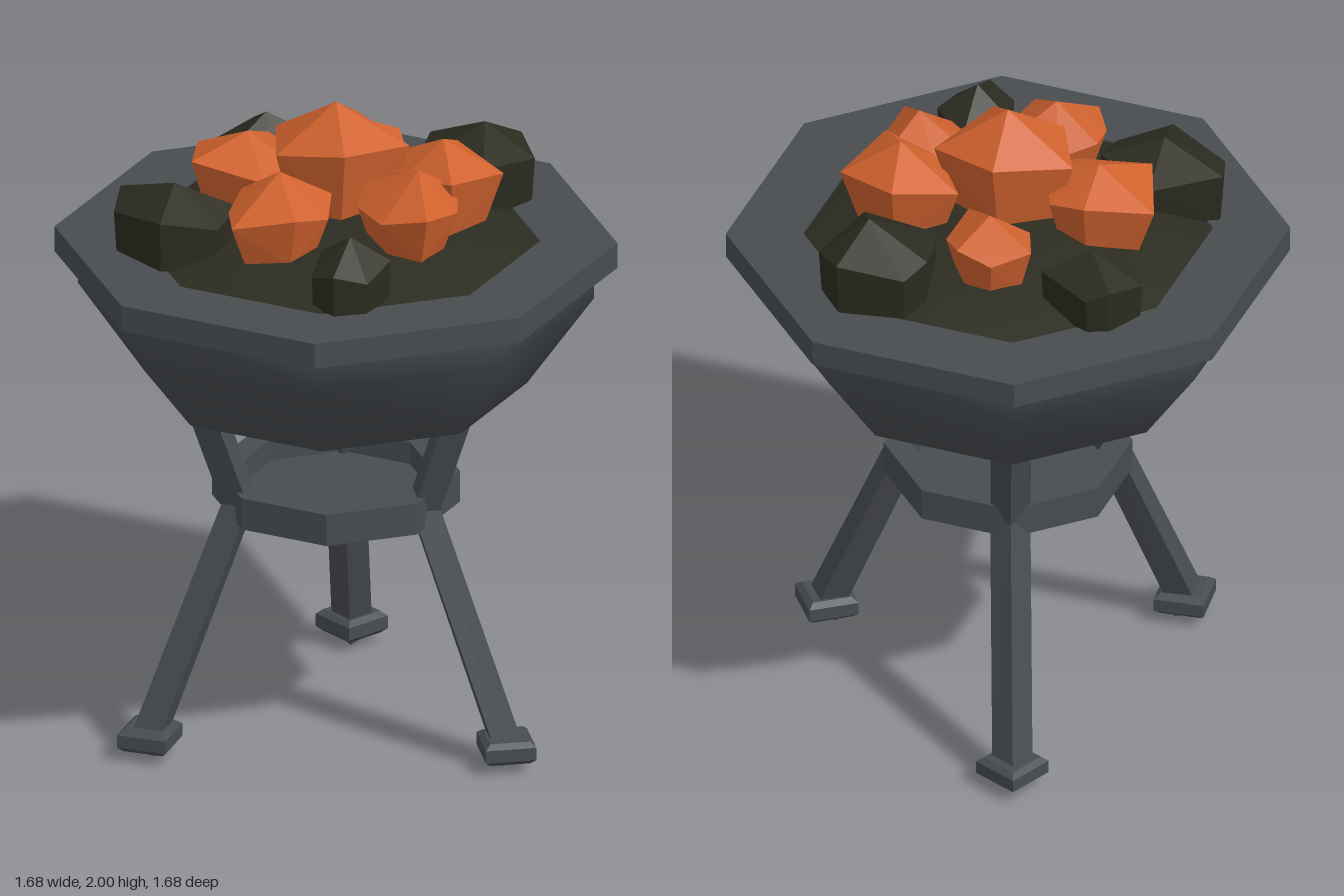
import * as THREE from 'three';
import { ConvexGeometry } from 'three/addons/geometries/ConvexGeometry.js';

const iron = new THREE.MeshStandardMaterial({ color: 0x484c50 });
iron.name = 'iron grey';
const coal = new THREE.MeshStandardMaterial({ color: 0x2c2b20 });
coal.name = 'coal black';
const ember = new THREE.MeshStandardMaterial({ color: 0xd0622e });
ember.name = 'ember orange';

function faceted(geometry) {
  const g = geometry.index ? geometry.toNonIndexed() : geometry;
  g.computeVertexNormals();
  return g;
}

function lathe(profile, sides = 8) {
  return new THREE.LatheGeometry(profile.map(([r, y]) => new THREE.Vector2(r, y)), sides);
}

function add(parent, name, geometry, material) {
  const mesh = new THREE.Mesh(geometry, material);
  mesh.name = name;
  parent.add(mesh);
  return mesh;
}

// Bent bar with a diamond section; each station is [radius, y, section lean]
function legGeometry() {
  const stations = [[0.635, 0.025, 0.4], [0.318, 0.77, 0], [0.46, 1.17, 0]];
  const h = 0.06, pos = [], idx = [];
  for (const [r, y, lean] of stations) {
    const dr = h * Math.cos(lean), dy = h * Math.sin(lean);
    pos.push(0, y + dy, r + dr, h, y, r, 0, y - dy, r - dr, -h, y, r);
  }
  for (let s = 0; s < 2; s++) {
    for (let k = 0; k < 4; k++) {
      const a = s * 4 + k, b = s * 4 + (k + 1) % 4;
      idx.push(a, b, b + 4, a, b + 4, a + 4);
    }
  }
  idx.push(0, 2, 1, 0, 3, 2, 8, 9, 10, 8, 10, 11);
  const g = new THREE.BufferGeometry();
  g.setAttribute('position', new THREE.Float32BufferAttribute(pos, 3));
  g.setIndex(idx);
  return faceted(g);
}

// Faceted lump: outline at its widest, a shrunken base and a peak
function rockGeometry({ outline, peak, mid, base, shrink }) {
  const [px, py, pz] = peak;
  const pts = [new THREE.Vector3(px, py, pz)];
  const n = outline.length;
  const cx = outline.reduce((s, p) => s + p[0], 0) / n;
  const cz = outline.reduce((s, p) => s + p[1], 0) / n;
  outline.forEach(([x, z], i) => {
    pts.push(new THREE.Vector3(x, mid + (i % 2 ? 0.015 : -0.015), z));
    pts.push(new THREE.Vector3(cx + (x - cx) * shrink, base, cz + (z - cz) * shrink));
  });
  return new ConvexGeometry(pts);
}

const embers = [
  { peak: [0, 2, 0], mid: 1.88, base: 1.66,
    outline: [[-0.19, -0.12], [0.05, -0.18], [0.22, 0], [0.04, 0.18], [-0.17, 0.11]] },
  { peak: [-0.27, 1.86, -0.09], mid: 1.78, base: 1.6,
    outline: [[-0.43, -0.22], [-0.22, -0.24], [-0.12, -0.16], [-0.12, 0], [-0.21, 0.09], [-0.43, 0.01]] },
  { peak: [0.32, 1.89, 0], mid: 1.8, base: 1.63,
    outline: [[0.15, -0.13], [0.35, -0.17], [0.5, 0], [0.36, 0.18], [0.2, 0.07]] },
  { peak: [-0.15, 1.87, 0.24], mid: 1.76, base: 1.62,
    outline: [[-0.3, 0.27], [-0.27, 0.15], [-0.15, 0.12], [0, 0.17], [0, 0.3], [-0.09, 0.4], [-0.28, 0.4]] },
  { peak: [0.26, 1.87, 0.2], mid: 1.76, base: 1.62,
    outline: [[0.08, 0.2], [0.09, 0.07], [0.2, 0.03], [0.37, 0.09], [0.38, 0.22], [0.3, 0.37], [0.16, 0.33]] },
  { peak: [0.06, 1.82, -0.3], mid: 1.74, base: 1.6,
    outline: [[-0.06, -0.25], [-0.06, -0.41], [0.06, -0.44], [0.16, -0.39], [0.19, -0.28], [0.12, -0.16], [0.03, -0.18]] },
];

const coals = [
  { peak: [-0.24, 1.78, -0.43], mid: 1.69, base: 1.55,
    outline: [[-0.39, -0.47], [-0.29, -0.56], [-0.22, -0.56], [-0.09, -0.43], [-0.21, -0.32], [-0.34, -0.32]] },
  { peak: [0.42, 1.82, -0.31], mid: 1.72, base: 1.55,
    outline: [[0.22, -0.27], [0.25, -0.42], [0.32, -0.48], [0.52, -0.44], [0.57, -0.31], [0.43, -0.14], [0.24, -0.2]] },
  { peak: [-0.47, 1.79, 0.16], mid: 1.71, base: 1.55,
    outline: [[-0.65, 0.17], [-0.64, 0.04], [-0.42, 0.01], [-0.28, 0.17], [-0.33, 0.29], [-0.5, 0.33]] },
  { peak: [0.08, 1.77, 0.49], mid: 1.68, base: 1.55,
    outline: [[-0.03, 0.56], [-0.01, 0.42], [0.13, 0.35], [0.2, 0.48], [0.14, 0.6], [0.04, 0.63]] },
];

export function createModel() {
  const model = new THREE.Group();
  model.name = 'brazier';

  // Bowl, rim and bed of coal
  add(model, 'bowl', lathe([[0, 1.02], [0.25, 1.02], [0.57, 1.11], [0.77, 1.39], [0.77, 1.5]]), iron);
  add(model, 'rim', faceted(lathe([[0.61, 1.49], [0.84, 1.49], [0.84, 1.57], [0.61, 1.57], [0.61, 1.49]])), iron);
  add(model, 'coalBed', lathe([[0.62, 1.56], [0.45, 1.62], [0.22, 1.67], [0, 1.68]]), coal);

  // Ash tray held between the knees of the legs
  add(model, 'ashTray', faceted(lathe([[0, 0.72], [0.37, 0.72], [0.37, 0.82], [0.29, 0.82], [0.29, 0.75], [0, 0.75]])), iron);

  // Three legs with chamfered square feet
  const legGeo = legGeometry();
  const footGeo = faceted(lathe([[0, 0.03], [0.085, 0.03], [0.108, 0.045], [0.108, 0.085], [0.085, 0.1], [0, 0.1]], 4));
  for (let i = 0; i < 3; i++) {
    const leg = new THREE.Group();
    leg.name = 'leg' + (i + 1);
    add(leg, 'legBar', legGeo, iron);
    add(leg, 'foot', footGeo, iron).position.z = 0.615;
    leg.rotation.y = Math.PI + i * Math.PI * 2 / 3;
    model.add(leg);
  }

  // Heap of glowing and burnt lumps
  embers.forEach((e, i) => add(model, 'ember' + (i + 1), rockGeometry({ ...e, shrink: 0.72 }), ember));
  coals.forEach((c, i) => add(model, 'coal' + (i + 1), rockGeometry({ ...c, shrink: 0.95 }), coal));

  return model;
}
